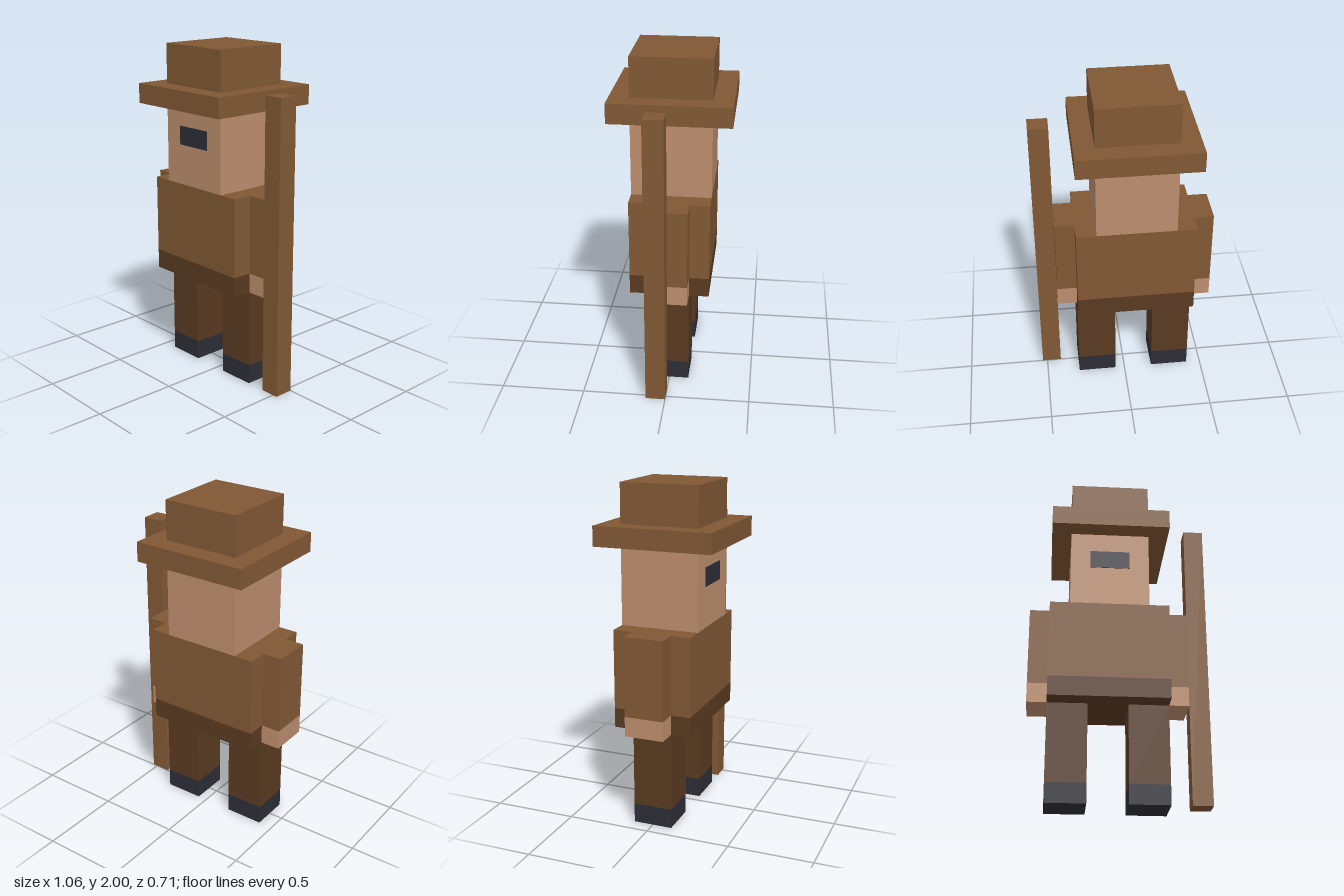
import * as THREE from 'three';

const U = 2 / 17; // one block unit
const CX = -U / 2; // the figure stands left of centre, the staff balances it

function material(name, color) {
  const m = new THREE.MeshStandardMaterial({ color });
  m.name = name;
  return m;
}

export function createModel() {
  const brown = material('brown cloth', 0x805834);
  const darkBrown = material('dark brown trousers', 0x593a21);
  const skin = material('skin', 0xbc8d6d);
  const charcoal = material('charcoal', 0x2d2d37);

  const model = new THREE.Group();
  model.name = 'villager';

  // Box in block units: x centre from the body axis, y bottom to top, z centre
  function box(name, mat, w, y0, y1, d, x = 0, z = 0, parent = model) {
    const mesh = new THREE.Mesh(new THREE.BoxGeometry(w * U, (y1 - y0) * U, d * U), mat);
    mesh.position.set(CX + x * U, ((y0 + y1) / 2) * U, z * U);
    mesh.name = name;
    parent.add(mesh);
    return mesh;
  }

  // Torso with trouser waist
  box('waist', darkBrown, 6, 5, 6, 4);
  box('torso', brown, 6, 6, 10, 4);

  // Legs and arms, mirrored
  for (const [side, s] of [['left', 1], ['right', -1]]) {
    const leg = new THREE.Group();
    leg.name = side + 'Leg';
    box(side + 'Shoe', charcoal, 2, 0, 1, 2, 2 * s, 0, leg);
    box(side + 'Trouser', darkBrown, 2, 1, 5, 2, 2 * s, 0, leg);

    const arm = new THREE.Group();
    arm.name = side + 'Arm';
    box(side + 'Hand', skin, 1, 5, 6, 2, 3.5 * s, 0, arm);
    box(side + 'Sleeve', brown, 1, 6, 10, 2, 3.5 * s, 0, arm);
    model.add(leg, arm);
  }

  // Head with a dark eye band on the face
  box('head', skin, 4, 10, 14, 4);
  box('eyeBand', charcoal, 2, 12.05, 13, 0.04, 0, 2.01);

  // Hat
  box('hatBrim', brown, 6, 14, 15, 6);
  box('hatCrown', brown, 4, 15, 17, 4);

  // Staff beside the left hand
  box('staff', brown, 1, 0, 15, 1, 4.5, 0.5);

  return model;
}
